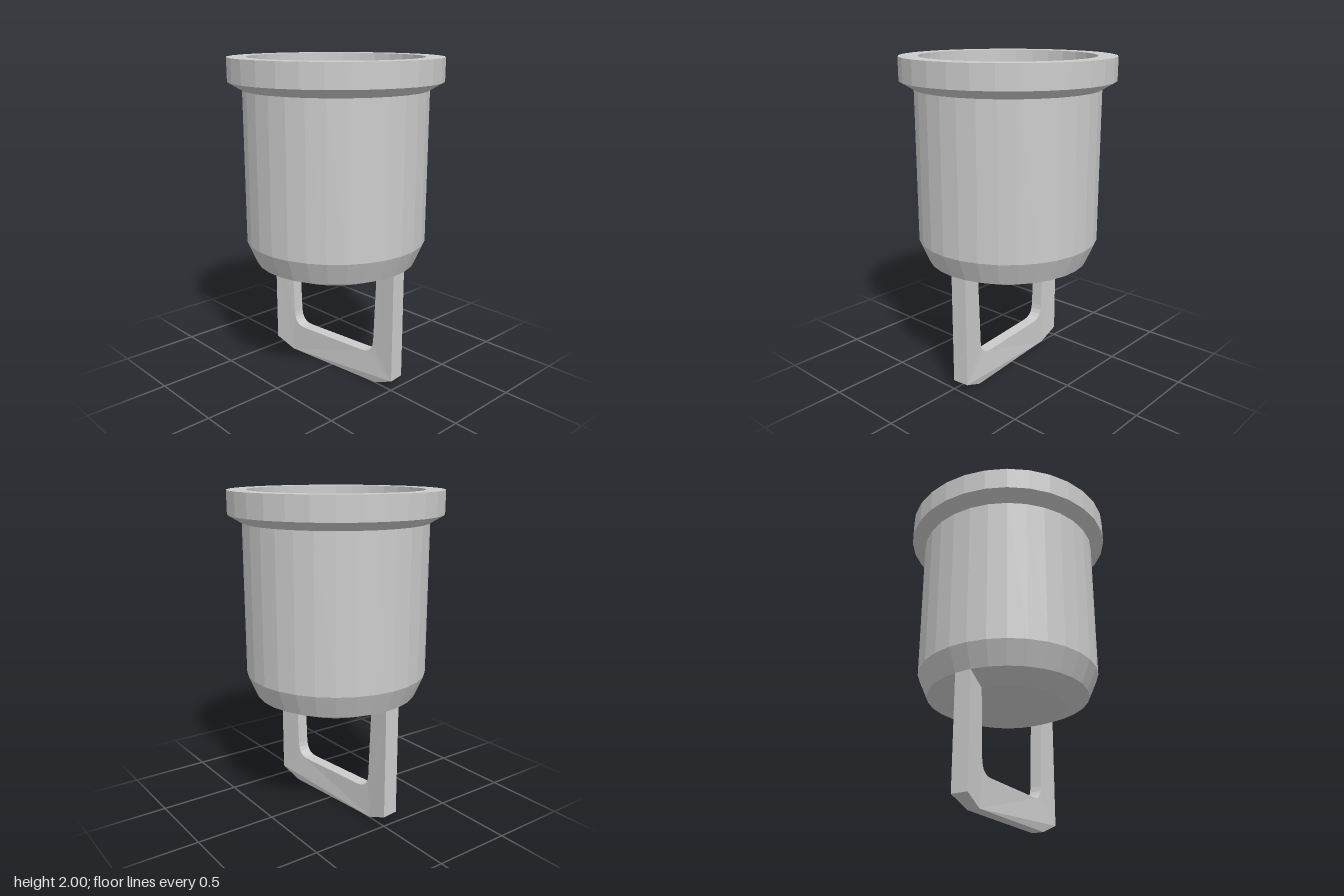
import * as THREE from 'three';

const SIDES = 30;
const HALF_STEP = Math.PI / SIDES;
const material = new THREE.MeshStandardMaterial({ color: 0xcccccc, flatShading: true });

// Hollow cup: outer wall from the base up to the rim, then down inside to the floor
function makeCup() {
  const profile = [
    [0, 0.69], [0.36, 0.69], [0.5, 0.75], [0.56, 0.89], [0.56, 1.81],
    [0.645, 1.86], [0.645, 2], [0.53, 2], [0.53, 1.86], [0.46, 1.81],
    [0.46, 0.89], [0, 0.89],
  ].map(([r, y]) => new THREE.Vector2(r, y));
  const cup = new THREE.Mesh(new THREE.LatheGeometry(profile, SIDES), material);
  cup.name = 'cup';
  return cup;
}

// U-shaped loop under the cup, as wide as one facet of the cup at each radius
function makeLoop() {
  const outer = 0.5 * Math.cos(HALF_STEP);
  const inner = 0.36 * Math.cos(HALF_STEP);
  const shape = new THREE.Shape();
  shape.moveTo(-outer, 0.75);
  shape.lineTo(-outer, 0.06);
  shape.lineTo(-inner, 0);
  shape.lineTo(inner, 0);
  shape.lineTo(outer, 0.06);
  shape.lineTo(outer, 0.75);
  shape.lineTo(inner, 0.69);
  shape.lineTo(0.341, 0.28);
  shape.quadraticCurveTo(0.335, 0.19, 0.25, 0.19);
  shape.lineTo(-0.25, 0.19);
  shape.quadraticCurveTo(-0.335, 0.19, -0.341, 0.28);
  shape.lineTo(-inner, 0.69);

  const geometry = new THREE.ExtrudeGeometry(shape, { depth: 1, bevelEnabled: false, curveSegments: 5 });
  geometry.translate(0, 0, -0.5);
  geometry.rotateY(-Math.PI / 2);

  // The legs grow thicker towards their outer ends
  const pos = geometry.attributes.position;
  for (let i = 0; i < pos.count; i++) {
    const reach = Math.max(Math.abs(pos.getZ(i)), inner);
    pos.setX(i, Math.sign(pos.getX(i)) * reach * Math.tan(HALF_STEP));
  }
  geometry.computeVertexNormals();

  const loop = new THREE.Mesh(geometry, material);
  loop.name = 'hangingLoop';
  loop.rotation.y = HALF_STEP; // line up with a facet of the cup
  return loop;
}

export function createModel() {
  const model = new THREE.Group();
  model.name = 'cupWithLoop';
  model.add(makeCup(), makeLoop());
  return model;
}
